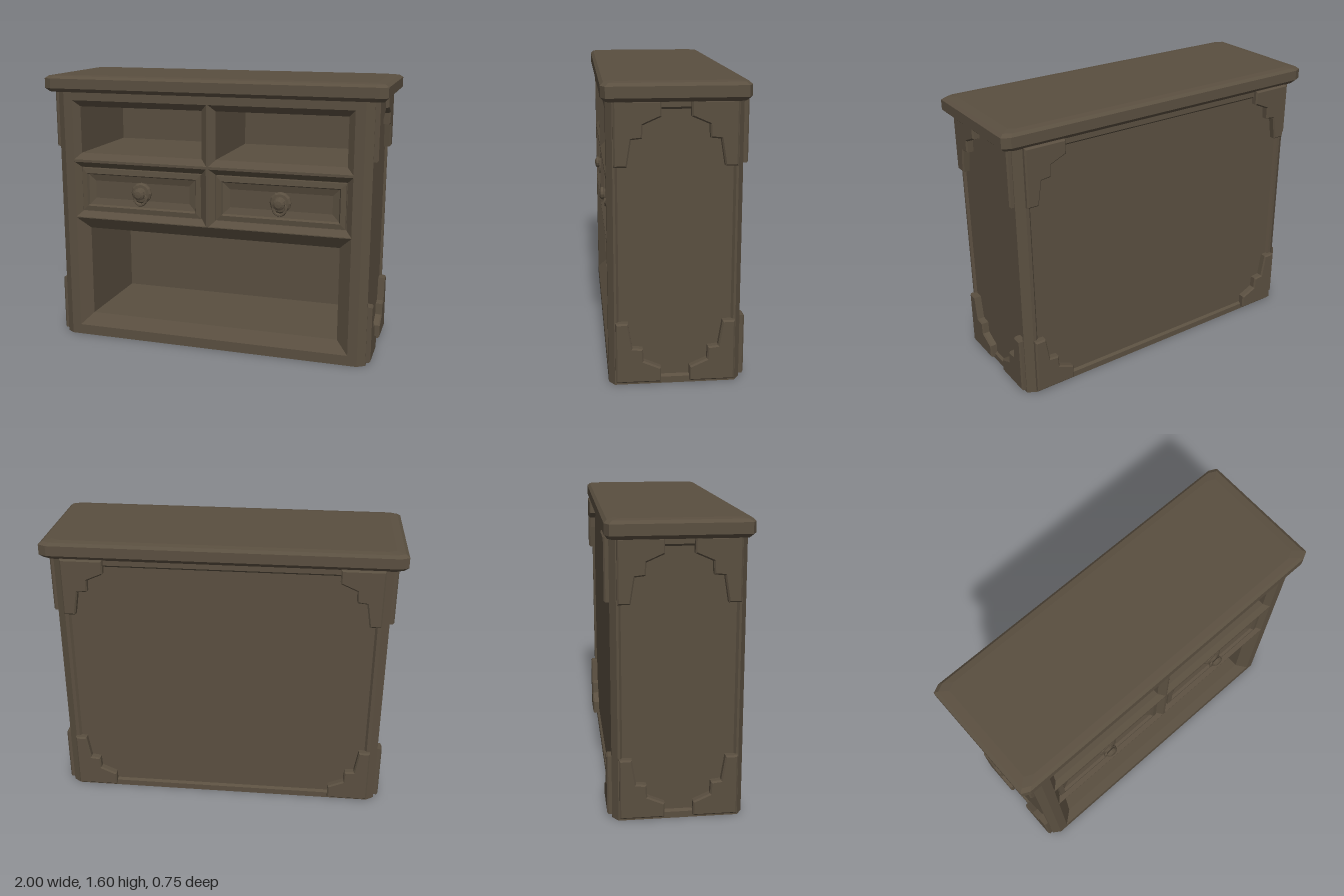
import * as THREE from 'three';

const FRONT = 0.347, SIDE = 0.93, HEIGHT = 1.5;
const CUT_X = 0.045, CUT_Z = 0.03;

// Flat-faced skin over successive rings of points, with optional end caps
function loft(rings, capStart, capEnd, keepSide = () => true) {
  const pos = [];
  const tri = (a, b, c) => pos.push(...a, ...b, ...c);
  const fan = (r) => { for (let i = 1; i < r.length - 1; i++) tri(r[0], r[i], r[i + 1]); };
  for (let k = 0; k < rings.length - 1; k++) {
    const p = rings[k], q = rings[k + 1];
    p.forEach((a, i) => {
      if (!keepSide(i)) return;
      const j = (i + 1) % p.length;
      tri(a, p[j], q[j]);
      tri(a, q[j], q[i]);
    });
  }
  if (capStart) fan([...rings[0]].reverse());
  if (capEnd) fan(rings[rings.length - 1]);
  const g = new THREE.BufferGeometry();
  g.setAttribute('position', new THREE.Float32BufferAttribute(pos, 3));
  g.computeVertexNormals();
  return g;
}

// Rectangles shrinking inward; each step is [inset, depth behind the face]
const rectRings = ([x0, x1, y0, y1], steps) => steps.map(([i, d]) => [
  [x0 + i, y0 + i, -d], [x1 - i, y0 + i, -d], [x1 - i, y1 - i, -d], [x0 + i, y1 - i, -d],
]);

// Rectangle with cut corners, lying flat at height y
const octagon = (x, z, cx, cz, y) => [
  [-x + cx, y, z], [x - cx, y, z], [x, y, z - cz], [x, y, -z + cz],
  [x - cx, y, -z], [-x + cx, y, -z], [-x, y, -z + cz], [-x, y, z - cz],
];

export function createModel() {
  const model = new THREE.Group();
  model.name = 'sideboard';
  const wood = new THREE.MeshStandardMaterial({ color: 0x5a4f40 });
  wood.name = 'dark weathered wood';
  wood.flatShading = true;

  const add = (parent, name, geometry) => {
    const m = new THREE.Mesh(geometry, wood);
    m.name = name;
    parent.add(m);
    return m;
  };

  // Upright face with rectangular recesses cut into it
  const addFace = (name, halfWidth, distance, angle, recesses) => {
    const face = new THREE.Group();
    face.name = name;
    face.rotation.y = angle;
    const shape = new THREE.Shape([
      new THREE.Vector2(-halfWidth, 0), new THREE.Vector2(halfWidth, 0),
      new THREE.Vector2(halfWidth, HEIGHT), new THREE.Vector2(-halfWidth, HEIGHT),
    ]);
    const inner = new THREE.Group();
    inner.position.z = distance;
    face.add(inner);
    for (const r of recesses) {
      const [x0, x1, y0, y1] = r.rect;
      shape.holes.push(new THREE.Path([
        new THREE.Vector2(x0, y0), new THREE.Vector2(x0, y1),
        new THREE.Vector2(x1, y1), new THREE.Vector2(x1, y0),
      ]));
      add(inner, r.name, loft(rectRings(r.rect, r.steps), false, true));
    }
    add(inner, name + 'Frame', new THREE.ShapeGeometry(shape));
    model.add(face);
    return inner;
  };

  // Front: two cubbies, two drawer bays and one wide shelf
  const mirrorRect = ([x0, x1, y0, y1]) => [-x1, -x0, y0, y1];
  const cubby = [0.005, 0.83, 1.1, 1.45];
  const bay = [0.008, 0.83, 0.75, 1.085];
  const open = [[0, 0], [0.037, 0.03], [0.037, 0.635]];
  const bayEdge = [[0, 0], [0.033, 0.03], [0.033, 0.048]];
  const front = addFace('front', SIDE - CUT_X, FRONT, 0, [
    { name: 'leftCubby', rect: cubby, steps: open },
    { name: 'rightCubby', rect: mirrorRect(cubby), steps: open },
    { name: 'leftDrawerBay', rect: bay, steps: bayEdge },
    { name: 'rightDrawerBay', rect: mirrorRect(bay), steps: bayEdge },
    { name: 'lowerShelf', rect: [-0.83, 0.83, 0.06, 0.745], steps: [[0, 0], [0.07, 0.05], [0.07, 0.635]] },
  ]);

  // Drawer fronts with sunken fields, each with a round pull and drop ring
  const drawerSteps = [[0.038, 0.048], [0.038, 0.022], [0.068, 0.018], [0.076, 0.034], [0.115, 0.045]];
  const pullProfile = [
    [0.062, 0], [0.062, 0.012], [0.052, 0.022], [0.036, 0.024], [0.026, 0.03],
    [0.026, 0.038], [0.036, 0.046], [0.034, 0.058], [0.02, 0.066], [0, 0.068],
  ].map(([r, y]) => new THREE.Vector2(r, y));
  for (const side of [1, -1]) {
    const label = side > 0 ? 'left' : 'right';
    const rect = side > 0 ? bay : mirrorRect(bay);
    add(front, label + 'Drawer', loft(rectRings(rect, drawerSteps), false, true));
    const pull = add(front, label + 'Pull', new THREE.LatheGeometry(pullProfile, 12));
    pull.rotation.x = Math.PI / 2;
    pull.position.set(side * 0.42, 0.913, -0.046);
    const ring = add(front, label + 'DropRing', new THREE.TorusGeometry(0.036, 0.009, 6, 14));
    ring.position.set(side * 0.42, 0.882, -0.014);
  }

  // Stepped corner bracket, mirrored into all four corners of a face
  const bracketShape = new THREE.Shape([
    [0, 0], [0.237, 0], [0.237, 0.08], [0.146, 0.12], [0.142, 0.187],
    [0.088, 0.193], [0.066, 0.33], [0, 0.33],
  ].map(([x, y]) => new THREE.Vector2(x, y)));
  const bracketGeo = new THREE.ExtrudeGeometry(bracketShape, {
    depth: 0.032, bevelThickness: 0.008, bevelSize: 0.008, bevelOffset: -0.008, bevelSegments: 1,
  });
  bracketGeo.translate(0, 0, -0.014);
  const addBrackets = (face, halfWidth) => {
    for (const sx of [1, -1]) for (const sy of [1, -1]) {
      const b = add(face, 'cornerBracket', bracketGeo);
      b.scale.set(-sx, sy, 1);
      b.position.set(sx * halfWidth, sy > 0 ? 0.018 : HEIGHT, 0);
    }
  };

  // Sides and back: shallow inset panels with brackets
  const panelSteps = [[0, 0], [0.012, 0.014]];
  const plain = [
    ['leftSide', FRONT - CUT_Z, SIDE, Math.PI / 2, 0.305, 0.312],
    ['rightSide', FRONT - CUT_Z, SIDE, -Math.PI / 2, 0.305, 0.312],
    ['back', SIDE - CUT_X, FRONT, Math.PI, 0.865, 0.885],
  ];
  for (const [name, half, distance, angle, panel, bracketX] of plain) {
    const face = addFace(name, half, distance, angle, [
      { name: name + 'Panel', rect: [-panel, panel, 0.035, 1.465], steps: panelSteps },
    ]);
    addBrackets(face, bracketX);
  }

  // Chamfered corner posts and the underside
  const outline = (y) => octagon(SIDE, FRONT, CUT_X, CUT_Z, y);
  add(model, 'cornerPostsAndBase', loft([outline(0), outline(HEIGHT)], true, false, (i) => i % 2 === 1));

  // Overhanging top slab with bevelled edges
  const slab = [[0.022, 1.497], [0, 1.518], [0, 1.575], [0.02, 1.59], [0.065, 1.595]];
  add(model, 'topSlab', loft(
    slab.map(([i, y]) => octagon(1 - i, 0.372 - i * 0.8, 0.045, 0.022, y)), true, true));

  return model;
}
